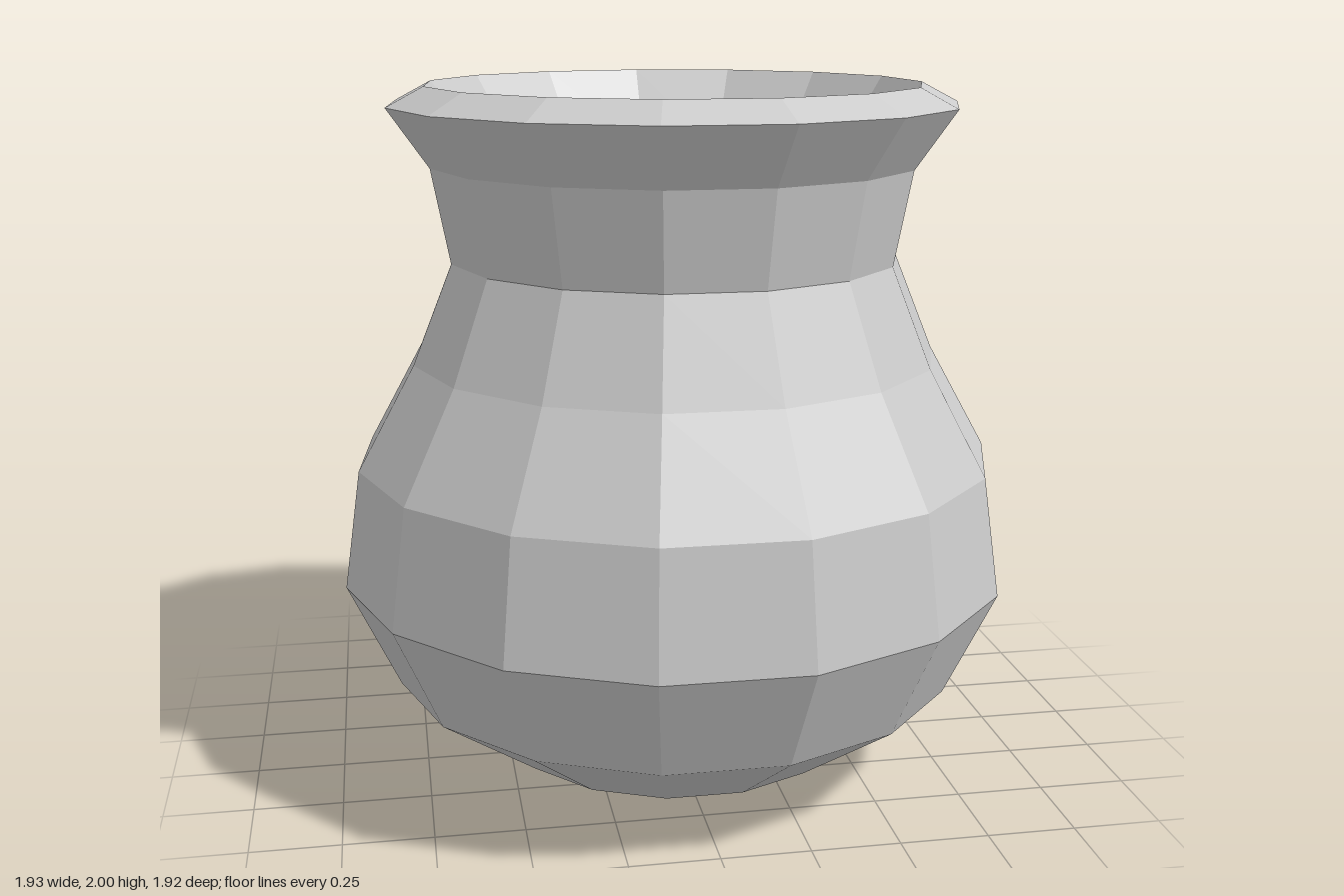
import * as THREE from 'three';

const SIDES = 15;

// Closed profile (radius, height): base point, outer wall, lip, inner bowl
const PROFILE = [
  [0, 0], [0.52, 0.07], [0.825, 0.29], [0.97, 0.6], [0.92, 0.94],
  [0.755, 1.235], [0.64, 1.515], [0.69, 1.78], [0.805, 1.945],
  [0.7, 2], [0.545, 1.77], [0, 1.35],
];

export function createModel() {
  const group = new THREE.Group();
  group.name = 'vase';

  const material = new THREE.MeshStandardMaterial({ color: 0xcccccc, flatShading: true });
  const points = PROFILE.map(([r, y]) => new THREE.Vector2(r, y));

  // Faceted pot with one corner pointing to the back
  const pot = new THREE.Mesh(new THREE.LatheGeometry(points, SIDES, Math.PI), material);
  pot.name = 'pot';
  pot.position.z = 0.01; // odd side count: recentre the depth
  group.add(pot);

  return group;
}
